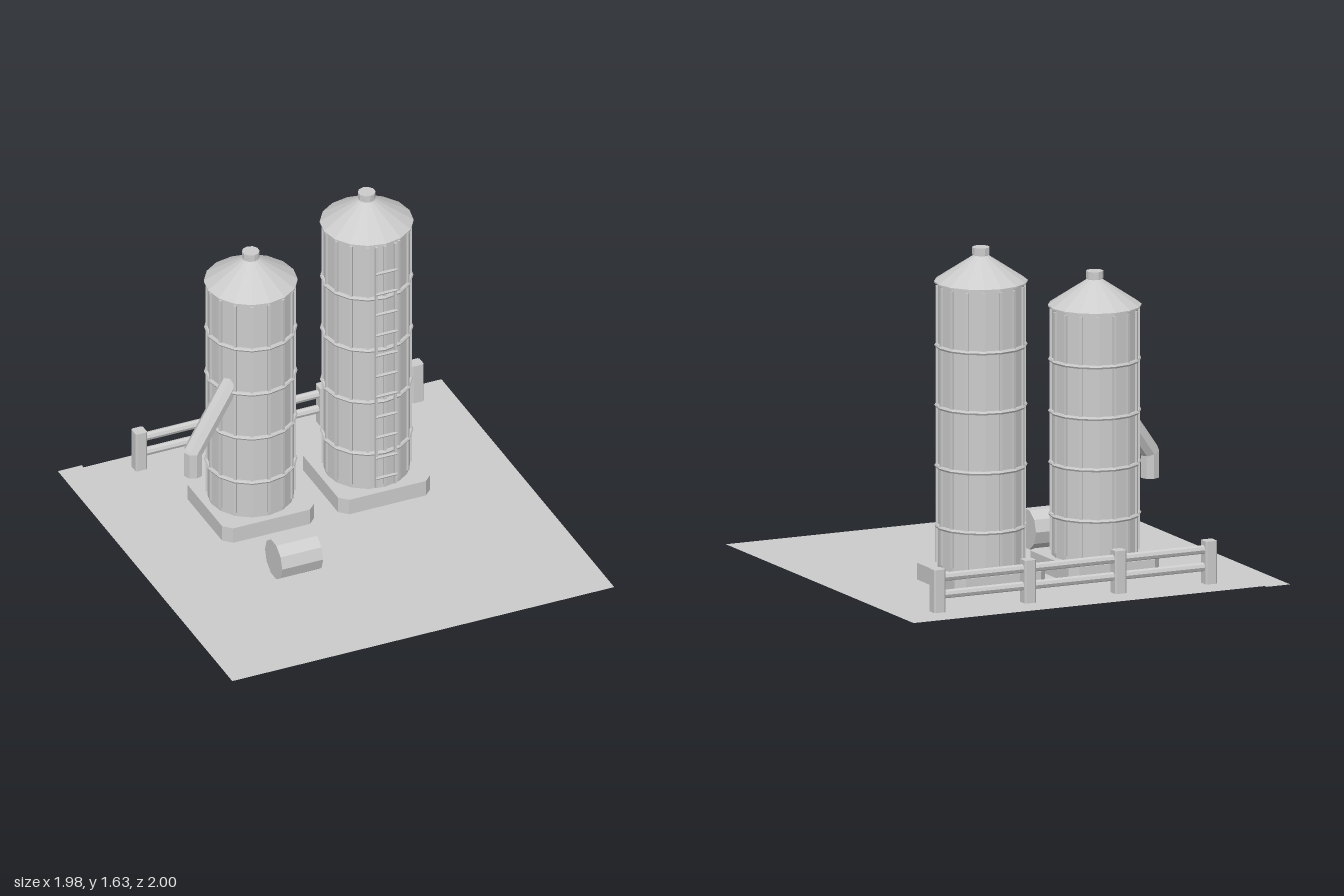
import * as THREE from 'three';

const grey = new THREE.MeshStandardMaterial({ color: 0xcccccc, flatShading: true });
grey.name = 'plain grey';
const groundGrey = new THREE.MeshStandardMaterial({ color: 0xcccccc, side: THREE.DoubleSide });
groundGrey.name = 'ground grey';

function add(parent, name, geometry, x = 0, y = 0, z = 0, material = grey) {
  const mesh = new THREE.Mesh(geometry, material);
  mesh.name = name;
  mesh.position.set(x, y, z);
  parent.add(mesh);
  return mesh;
}

// Upright block with cut corners, standing on y = 0
function cutBlock(half, cut, height) {
  const s = new THREE.Shape();
  const a = half, b = half - cut;
  s.setFromPoints([[a, -b], [a, b], [b, a], [-b, a], [-a, b], [-a, -b], [-b, -a], [b, -a]]
    .map(([x, y]) => new THREE.Vector2(x, y)));
  return new THREE.ExtrudeGeometry(s, { depth: height, bevelEnabled: false }).rotateX(-Math.PI / 2);
}

// Cylinder running between two points
function rod(parent, name, a, b, radius, sides) {
  const from = new THREE.Vector3(...a), to = new THREE.Vector3(...b);
  const dir = to.clone().sub(from);
  const mesh = add(parent, name, new THREE.CylinderGeometry(radius, radius, dir.length(), sides));
  mesh.position.copy(from).add(to).multiplyScalar(0.5);
  mesh.quaternion.setFromUnitVectors(new THREE.Vector3(0, 1, 0), dir.normalize());
  return mesh;
}

function makeSilo(name, x, z, eave, bands) {
  const silo = new THREE.Group();
  silo.name = name;
  silo.position.set(x, 0, z);
  add(silo, 'foundation', cutBlock(0.239, 0.04, 0.081), 0, 0.004, 0);
  add(silo, 'wall', new THREE.CylinderGeometry(0.205, 0.205, eave - 0.08, 16), 0, (eave + 0.08) / 2, 0);

  // Upright ribs around the wall
  const ribHeight = eave - 0.12;
  for (let i = 0; i < 16; i++) {
    const t = i * Math.PI / 8;
    const rib = add(silo, 'rib', new THREE.BoxGeometry(0.014, ribHeight, 0.02),
      Math.sin(t) * 0.204, 0.107 + ribHeight / 2, Math.cos(t) * 0.204);
    rib.rotation.y = t;
  }

  // Hoops
  for (const y of bands) {
    add(silo, 'hoop', new THREE.TorusGeometry(0.211, 0.01, 6, 16).rotateX(Math.PI / 2), 0, y, 0);
  }

  // Roof and vent cap
  const profile = (points) => points.map(([r, y]) => new THREE.Vector2(r, y));
  add(silo, 'roof', new THREE.LatheGeometry(
    profile([[0, 0], [0.222, 0], [0.222, 0.007], [0.035, 0.13], [0, 0.13]]), 16), 0, eave, 0);
  add(silo, 'ventCap', new THREE.LatheGeometry(
    profile([[0, 0.1], [0.035, 0.1], [0.036, 0.134], [0.042, 0.134], [0.042, 0.169], [0, 0.169]]), 10), 0, eave, 0);
  return silo;
}

export function createModel() {
  const model = new THREE.Group();
  model.name = 'farmSilos';

  // Ground sheet
  const ground = new THREE.Shape();
  ground.setFromPoints([[-0.99, -1], [0.99, -1], [0.99, 0.98], [-0.865, 0.98], [-0.865, 1], [-0.99, 1]]
    .map(([x, y]) => new THREE.Vector2(x, y)));
  add(model, 'ground', new THREE.ShapeGeometry(ground).rotateX(-Math.PI / 2), 0, 0, 0, groundGrey);

  const shortSilo = makeSilo('shortSilo', -0.295, -0.325, 1.284, [0.284, 0.533, 0.781, 1.03]);
  const tallSilo = makeSilo('tallSilo', 0.306, -0.325, 1.457, [0.286, 0.575, 0.866, 1.156]);
  model.add(shortSilo, tallSilo);

  // Ladder on the tall silo
  const ladder = new THREE.Group();
  ladder.name = 'ladder';
  tallSilo.add(ladder);
  for (const side of [-1, 1]) {
    add(ladder, 'ladderRail', new THREE.BoxGeometry(0.012, 1.35, 0.014), side * 0.049, 0.78, 0.22);
  }
  for (let i = 0; i < 11; i++) {
    rod(ladder, 'rung', [-0.055, 0.158 + i * 0.115, 0.226], [0.055, 0.158 + i * 0.115, 0.226], 0.007, 6);
  }

  // Chute on the short silo
  const chute = new THREE.Group();
  chute.name = 'chute';
  model.add(chute);
  rod(chute, 'chutePipe', [-0.668, 0.51, -0.168], [-0.42, 0.837, -0.236], 0.046, 8);
  add(chute, 'spout', new THREE.CylinderGeometry(0.046, 0.046, 0.13, 8), -0.665, 0.455, -0.168);

  // Barrel lying on its side
  add(model, 'barrel', new THREE.CylinderGeometry(0.099, 0.099, 0.212, 10).rotateZ(Math.PI / 2), -0.334, 0.1, 0.258);

  // Fence
  const fence = new THREE.Group();
  fence.name = 'fence';
  model.add(fence);
  for (let i = 0; i < 4; i++) {
    add(fence, 'fencePost', cutBlock(0.03, 0.007, 0.207), -0.634 + i * 0.478, 0.013, -0.854);
  }
  for (const y of [0.094, 0.178]) {
    rod(fence, 'fenceRail', [-0.634, y, -0.854], [0.8, y, -0.854], 0.021, 8);
  }
  return model;
}
